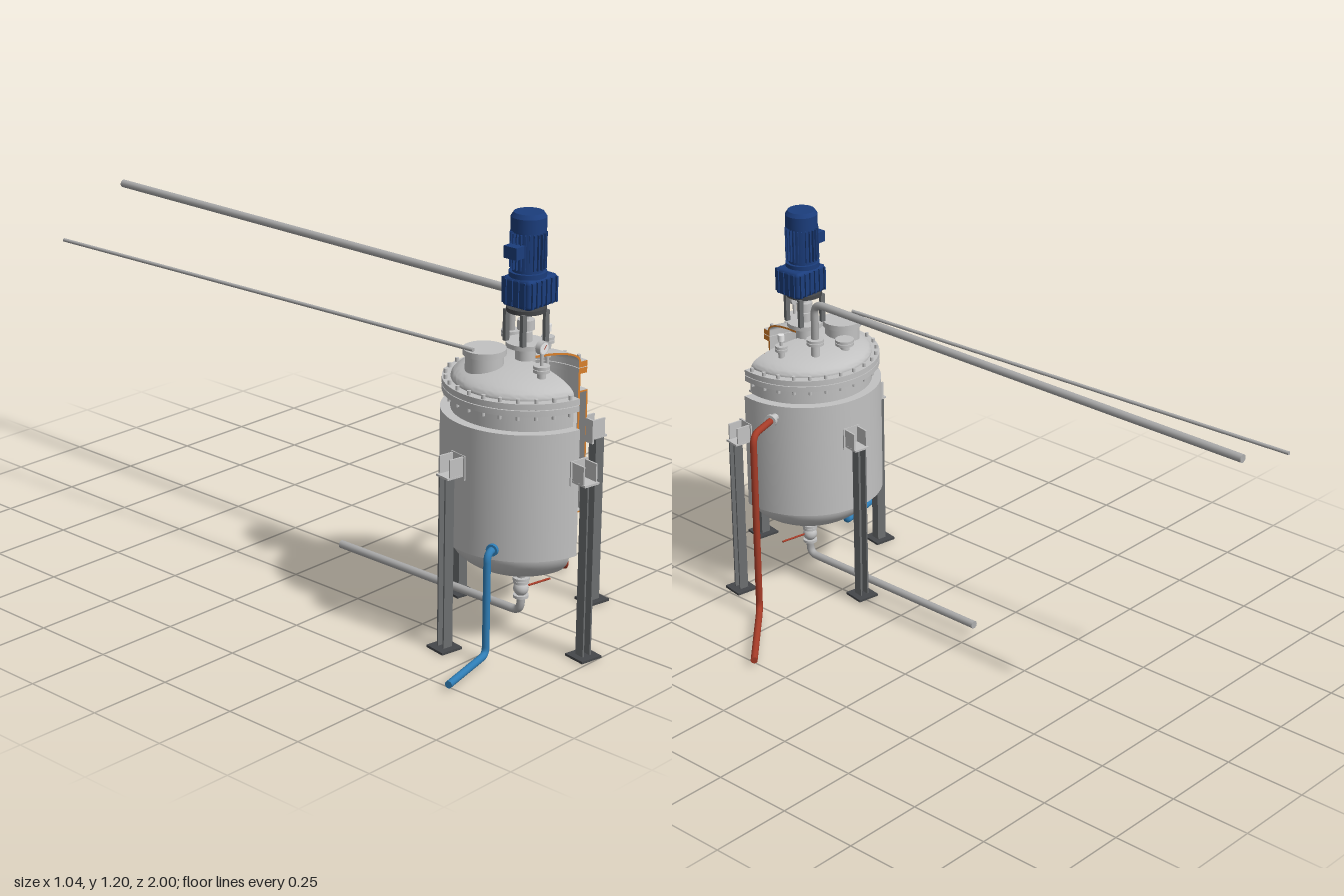
import * as THREE from 'three';
import { toCreasedNormals } from 'three/addons/utils/BufferGeometryUtils.js';
import { RoundedBoxGeometry } from 'three/addons/geometries/RoundedBoxGeometry.js';

const CX = -0.06, CZ = 0.695, TURN = -0.17;
const V = (x, y, z) => new THREE.Vector3(x, y, z);

function material(name, color, side = THREE.DoubleSide) {
  const m = new THREE.MeshStandardMaterial({ color, side });
  m.name = name;
  return m;
}

export function createModel() {
  const steel = material('steel', 0xc2c2c2);
  const pipeSteel = material('pipe steel', 0xacacac);
  const legGrey = material('leg grey', 0x6c6e70);
  const darkGrey = material('dark grey', 0x45474a);
  const motorBlue = material('motor blue', 0x1b3d7c);
  const coldBlue = material('cold blue', 0x2f7db5);
  const hotRed = material('hot red', 0xa63c28);
  const cutOrange = material('cut orange', 0xd9802c);
  const liquidGrey = material('liquid grey', 0xd2d2d2);
  const white = material('white', 0xf0f0f0);

  const model = new THREE.Group();
  const vessel = new THREE.Group();
  vessel.name = 'vessel';
  vessel.position.set(CX, 0, CZ);
  vessel.rotation.y = TURN;
  model.add(vessel);

  const add = (parent, name, geo, mat, x = 0, y = 0, z = 0) => {
    const m = new THREE.Mesh(geo, mat);
    m.name = name;
    m.position.set(x, y, z);
    parent.add(m);
    return m;
  };
  const box = (p, name, mat, w, h, d, x, y, z) => add(p, name, new THREE.BoxGeometry(w, h, d), mat, x, y, z);
  // upright cylinder from y0 to y1
  const cyl = (p, name, mat, r, y0, y1, x = 0, z = 0, rTop = r) =>
    add(p, name, new THREE.CylinderGeometry(rTop, r, y1 - y0, 28), mat, x, (y0 + y1) / 2, z);
  // cylinder between two points
  const rod = (p, name, mat, r, a, b) => {
    const m = add(p, name, new THREE.CylinderGeometry(r, r, a.distanceTo(b), 20), mat);
    m.position.copy(a).lerp(b, 0.5);
    m.quaternion.setFromUnitVectors(V(0, 1, 0), b.clone().sub(a).normalize());
    return m;
  };
  // pipe with rounded corners and closed ends
  const pipe = (name, mat, r, pts, bend = 0.035) => {
    const path = new THREE.CurvePath();
    let from = pts[0];
    for (let i = 1; i < pts.length; i++) {
      const p = pts[i], next = pts[i + 1];
      if (!next) { path.add(new THREE.LineCurve3(from, p)); break; }
      const a = p.clone().add(from.clone().sub(p).setLength(bend));
      const b = p.clone().add(next.clone().sub(p).setLength(bend));
      path.add(new THREE.LineCurve3(from, a));
      path.add(new THREE.QuadraticBezierCurve3(a, p, b));
      from = b;
    }
    add(model, name, new THREE.TubeGeometry(path, 220, r, 14), mat);
    [[pts[0], pts[1]], [pts.at(-1), pts.at(-2)]].forEach(([end, inner]) => {
      const cap = add(model, name + ' end', new THREE.CircleGeometry(r, 14), mat);
      cap.position.copy(end);
      cap.lookAt(end.clone().multiplyScalar(2).sub(inner));
    });
  };
  // three-quarter turned part with its two section faces
  const sector = (name, pts, mat, cutMat) => {
    const p = pts.map(([x, y]) => new THREE.Vector2(x, y));
    const g = new THREE.LatheGeometry([...p, p[0].clone()], 72, Math.PI / 2, Math.PI * 1.5);
    add(vessel, name, toCreasedNormals(g, 0.6), mat);
    const face = new THREE.ShapeGeometry(new THREE.Shape(p));
    add(vessel, name + ' section', face, cutMat);
    add(vessel, name + ' section', face, cutMat).rotation.y = -Math.PI / 2;
  };
  // quarter ellipse from the axis out to radius r
  const dish = (r, y, h) => Array.from({ length: 17 }, (_, i) => {
    const a = (i / 16) * Math.PI / 2;
    return [Math.max(r * Math.sin(a), 0.0005), y + h * Math.cos(a)];
  });

  // Shell, lid, jacket and flanges
  sector('tank shell', [...dish(0.202, 0.28, -0.105), [0.202, 0.7], [0.195, 0.7],
    ...dish(0.195, 0.28, -0.098).reverse()], steel, cutOrange);
  sector('lid', [[0.195, 0.735], [0.202, 0.735], ...dish(0.202, 0.738, 0.05).reverse(),
    ...dish(0.195, 0.738, 0.043)], steel, cutOrange);
  sector('jacket', [[0.202, 0.285], [0.23, 0.285], [0.23, 0.65], [0.202, 0.65],
    [0.202, 0.645], [0.225, 0.645], [0.225, 0.29], [0.202, 0.29]], steel, cutOrange);
  sector('lower flange', [[0.195, 0.7], [0.226, 0.7], [0.226, 0.717], [0.195, 0.717]], steel, cutOrange);
  sector('upper flange', [[0.195, 0.719], [0.226, 0.719], [0.226, 0.736], [0.195, 0.736]], steel, cutOrange);
  for (let i = 0; i < 21; i++) {
    const a = Math.PI / 2 + (i + 0.5) / 21 * Math.PI * 1.5;
    cyl(vessel, 'flange bolt', steel, 0.0055, 0.688, 0.748, 0.217 * Math.sin(a), 0.217 * Math.cos(a));
  }

  // Liquid with a slight whirl at the shaft
  sector('liquid', [...dish(0.193, 0.28, -0.096), [0.193, 0.616], [0.13, 0.613], [0.09, 0.608],
    [0.05, 0.597], [0.02, 0.586], [0.0005, 0.584]], liquidGrey, liquidGrey);

  // Legs with brackets and feet
  for (let i = 0; i < 4; i++) {
    const leg = new THREE.Group();
    leg.name = 'leg';
    leg.rotation.y = i * Math.PI / 2;
    vessel.add(leg);
    box(leg, 'leg web', legGrey, 0.006, 0.5, 0.026, 0.257, 0.256, 0);
    for (const s of [-1, 1]) {
      box(leg, 'leg side', legGrey, 0.03, 0.5, 0.005, 0.269, 0.256, s * 0.0125);
      box(leg, 'bracket side', steel, 0.05, 0.052, 0.005, 0.252, 0.536, s * 0.022);
    }
    box(leg, 'bracket base', steel, 0.056, 0.006, 0.05, 0.257, 0.508, 0);
    box(leg, 'bracket pad', steel, 0.006, 0.07, 0.06, 0.229, 0.53, 0);
    box(leg, 'foot', darkGrey, 0.07, 0.007, 0.07, 0.27, 0.0035, 0);
  }

  // Agitator
  cyl(vessel, 'shaft', steel, 0.008, 0.2, 0.93);
  for (const [y, len] of [[0.31, 0.05], [0.47, 0.05]]) {
    cyl(vessel, 'blade hub', steel, 0.013, y - 0.018, y + 0.018);
    for (let i = 0; i < 4; i++) {
      const arm = new THREE.Group();
      arm.rotation.y = Math.PI / 4 + i * Math.PI / 2;
      vessel.add(arm);
      box(arm, 'blade', pipeSteel, len, 0.024, 0.004, 0.01 + len / 2, y, 0).rotation.x = 0.8;
    }
  }
  add(vessel, 'stirring ring', new THREE.TorusGeometry(0.085, 0.005, 10, 48), pipeSteel, 0, 0.24, 0).rotation.x = Math.PI / 2;
  box(vessel, 'baffle', steel, 0.025, 0.12, 0.006, 0.15, 0.61, -0.03);

  // Shaft nozzle, seal and motor stand
  cyl(vessel, 'shaft nozzle', steel, 0.028, 0.775, 0.825);
  cyl(vessel, 'stand base', steel, 0.055, 0.825, 0.838);
  cyl(vessel, 'seal', steel, 0.018, 0.838, 0.866);
  cyl(vessel, 'coupling', steel, 0.024, 0.872, 0.9);
  for (const x of [-0.04, 0.04]) for (const z of [-0.036, 0.036])
    box(vessel, 'stand post', legGrey, 0.014, 0.09, 0.012, x, 0.883, z);
  cyl(vessel, 'stand top', darkGrey, 0.055, 0.925, 0.937);

  // Gearbox and motor
  const drive = new THREE.Group();
  drive.name = 'drive';
  drive.position.set(-0.055, 0, 0.693);
  model.add(drive);
  add(drive, 'gearbox', new RoundedBoxGeometry(0.122, 0.085, 0.1, 3, 0.012), motorBlue, 0.01, 0.981, 0);
  for (let i = 0; i < 6; i++)
    box(drive, 'gearbox rib', motorBlue, 0.006, 0.072, 0.11, -0.04 + i * 0.02, 0.981, 0);
  for (let i = 0; i < 4; i++)
    box(drive, 'gearbox rib', motorBlue, 0.13, 0.072, 0.006, 0.01, 0.981, -0.033 + i * 0.022);
  cyl(drive, 'motor flange', motorBlue, 0.052, 1.022, 1.036);
  cyl(drive, 'motor body', motorBlue, 0.043, 1.036, 1.155);
  for (let i = 0; i < 24; i++) {
    const a = i / 24 * Math.PI * 2;
    box(drive, 'cooling fin', motorBlue, 0.012, 0.1, 0.003, 0.045 * Math.cos(a), 1.095, -0.045 * Math.sin(a)).rotation.y = a;
  }
  cyl(drive, 'fan cover', motorBlue, 0.049, 1.15, 1.188);
  cyl(drive, 'fan cover top', motorBlue, 0.049, 1.188, 1.2, 0, 0, 0.041);
  box(drive, 'terminal box', motorBlue, 0.035, 0.034, 0.045, -0.058, 1.1, 0);

  // Manway and lid nozzles
  cyl(model, 'manway neck', steel, 0.053, 0.74, 0.815, -0.16, 0.635);
  cyl(model, 'manway cover', steel, 0.06, 0.812, 0.829, -0.16, 0.635);
  const nozzle = (x, z, r, y0, y1) => {
    cyl(model, 'nozzle', steel, r, y0, y1, x, z);
    cyl(model, 'nozzle flange', steel, r * 1.9, y1 - 0.008, y1, x, z);
    cyl(model, 'nozzle flange', steel, r * 1.9, y1 + 0.002, y1 + 0.01, x, z);
  };
  nozzle(-0.093, 0.56, 0.015, 0.75, 0.795);
  nozzle(0.005, 0.587, 0.014, 0.75, 0.82);
  nozzle(0.077, 0.66, 0.01, 0.75, 0.8);
  nozzle(-0.125, 0.806, 0.012, 0.75, 0.8);

  // Level probe
  cyl(model, 'probe', steel, 0.005, 0.6, 0.83, 0.077, 0.66);
  cyl(model, 'probe head', white, 0.01, 0.825, 0.845, 0.077, 0.66);

  // Pressure gauge
  cyl(model, 'gauge stem', steel, 0.005, 0.8, 0.845, -0.125, 0.806);
  rod(model, 'gauge case', steel, 0.019, V(-0.125, 0.86, 0.798), V(-0.125, 0.86, 0.814));
  add(model, 'gauge face', new THREE.CircleGeometry(0.016, 28), white, -0.125, 0.86, 0.8148);
  box(model, 'gauge needle', hotRed, 0.002, 0.014, 0.001, -0.122, 0.863, 0.8154).rotation.z = -0.7;

  // Supply pipes over the lid
  pipe('top pipe', pipeSteel, 0.012, [V(0.005, 0.82, 0.587), V(0.005, 0.945, 0.587), V(0.005, 0.945, -1)]);
  rod(model, 'thin pipe', pipeSteel, 0.0055, V(-0.212, 0.836, 0.64), V(-0.29, 0.836, -0.945));

  // Drain, ball valve and outlet pipe
  pipe('drain pipe', pipeSteel, 0.012, [V(-0.057, 0.18, 0.695), V(-0.057, 0.037, 0.695), V(-0.057, 0.037, 0)], 0.03);
  for (const [y, r] of [[0.165, 0.02], [0.138, 0.024], [0.128, 0.022], [0.085, 0.022]])
    cyl(model, 'drain flange', steel, r, y - 0.004, y + 0.004, -0.057, 0.695);
  add(model, 'ball valve', new THREE.SphereGeometry(0.022, 24, 16), steel, -0.057, 0.108, 0.695);
  rod(model, 'valve handle', hotRed, 0.003, V(-0.04, 0.11, 0.7), V(0.045, 0.11, 0.715));

  // Heating pipe and cooling pipe with jacket stubs
  pipe('hot pipe', hotRed, 0.0105, [V(0.185, 0.613, 0.605), V(0.29, 0.613, 0.572), V(0.29, 0.02, 0.572), V(0.515, 0.02, 0.365)]);
  rod(model, 'hot stub', steel, 0.012, V(0.14, 0.613, 0.62), V(0.186, 0.613, 0.605));
  rod(model, 'hot stub flange', steel, 0.019, V(0.177, 0.613, 0.608), V(0.187, 0.613, 0.6045));
  pipe('cold pipe', coldBlue, 0.0105, [V(-0.272, 0.317, 0.776), V(-0.311, 0.317, 0.786), V(-0.311, 0.02, 0.786), V(-0.52, 0.02, 0.837)], 0.025);
  rod(model, 'cold stub flange', coldBlue, 0.017, V(-0.277, 0.317, 0.777), V(-0.287, 0.317, 0.78));

  return model;
}
